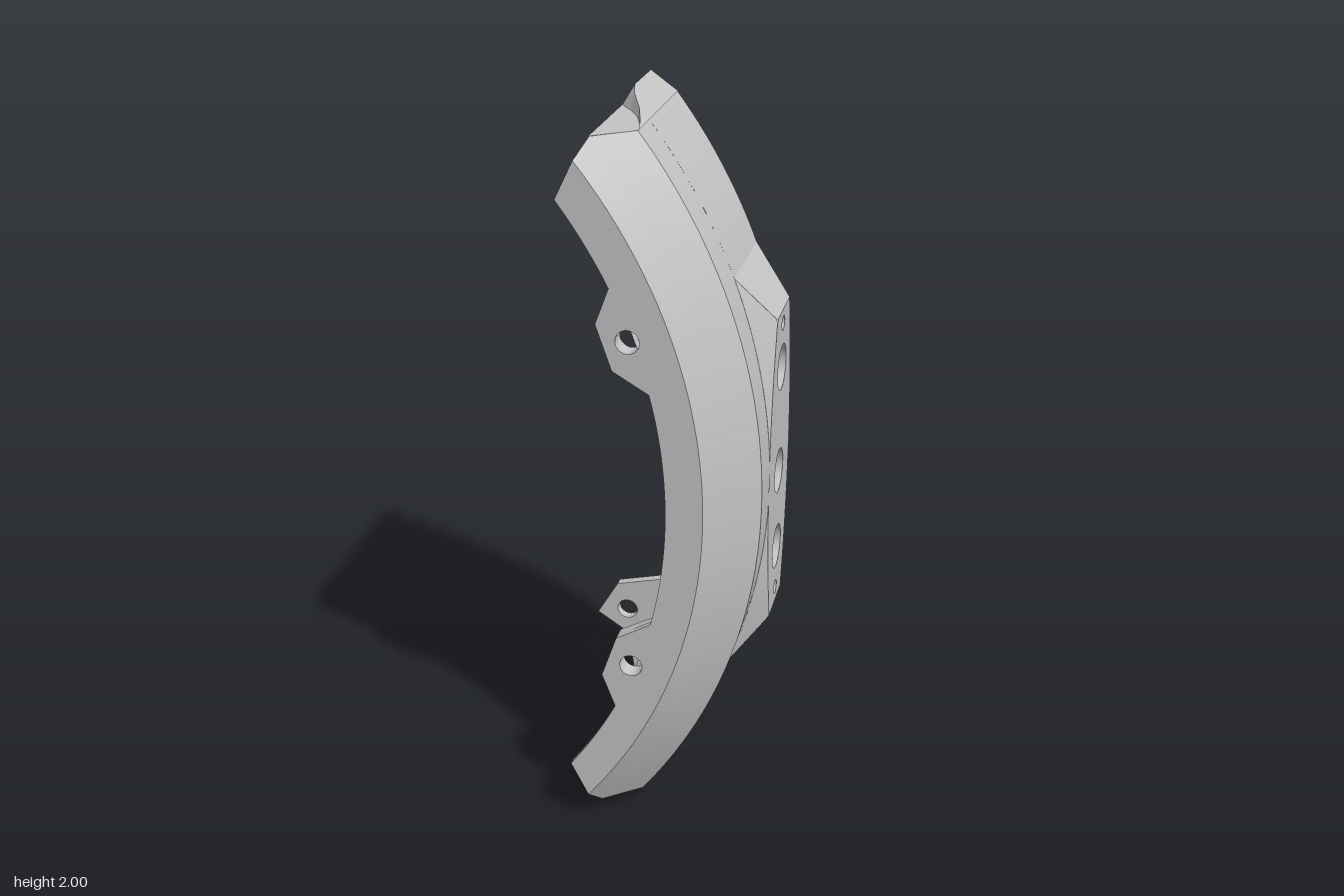
import * as THREE from 'three';

// Curved housing: concentric arcs about (CX, 0); h is height above mid level
const CX = -1.284, R_OUT = 1.58, R_FACE = 1.452, R_IN = 1.354, R_FLOOR = 1.424, R_WALL = 1.46;
const ZF = 0.333, PLATE = 0.018, Z_WALL = 0.285;
const POCKET_X = 0.225, POCKET_H = 0.45, POCKET_Z = 0.205, LIP_H = 0.6, RECESS_X = 0.268;
const PAD_X = 0.295, PAD_H = 0.44, PAD_END = 0.565, PAD_ZA = 0.095, PAD_ZB = -0.205;
const PORTS = [0.275, -0.03, -0.265], PORT_R = 0.063, HEX_R = 0.085;
const SCREWS = [0.4, -0.395], HOLE_Z = -0.055;
const arcX = (r, h) => CX + Math.sqrt(r * r - h * h);
const lerp = THREE.MathUtils.lerp;
const vec = pts => pts.map(p => new THREE.Vector2(...p));
const circle = (x, y, r) => new THREE.Path().absarc(x, y, r, 0, Math.PI * 2, true);
const hexagon = h => vec([0, 1, 2, 3, 4, 5].map(i =>
  [-HOLE_Z + HEX_R * Math.cos(i * Math.PI / 3), h + HEX_R * Math.sin(i * Math.PI / 3)]));

export function createModel() {
  const model = new THREE.Group();
  model.name = 'housingParts';
  const grey = new THREE.MeshStandardMaterial({ color: 0xc4c4c4, side: THREE.DoubleSide });
  grey.name = 'cast grey';
  const add = (name, geo) => {
    const m = new THREE.Mesh(geo, grey);
    m.name = name;
    model.add(m);
  };
  const surface = (name, pos, idx) => {
    const g = new THREE.BufferGeometry();
    g.setAttribute('position', new THREE.Float32BufferAttribute(pos, 3));
    if (idx) g.setIndex(idx);
    g.computeVertexNormals();
    add(name, g);
  };
  // Ruled strip between two curves a(t) and b(t)
  const strip = (name, a, b, n = 40) => {
    const pos = [], idx = [];
    for (let i = 0; i <= n; i++) {
      pos.push(...a(i / n), ...b(i / n));
      if (i < n) idx.push(2 * i, 2 * i + 1, 2 * i + 2, 2 * i + 1, 2 * i + 3, 2 * i + 2);
    }
    surface(name, pos, idx);
  };
  // Arc at radius r and depth z running from height h0 to h1
  const arc = (r, z, h0, h1) => t => { const h = lerp(h0, h1, t); return [arcX(r, h), h, z]; };
  // Flat polygon fan, first point is the hub
  const fan = (name, pts, flip) => {
    const pos = [];
    for (let i = 1; i < pts.length - 1; i++) {
      const tri = [pts[0], pts[i], pts[i + 1]];
      (flip ? tri.reverse() : tri).forEach(p => pos.push(...p));
    }
    surface(name, pos);
  };
  const slab = (name, shape, z, depth) => add(name,
    new THREE.ExtrudeGeometry(shape, { depth, bevelEnabled: false, curveSegments: 16 }).translate(0, 0, z));

  // Front and rear plates: arc bands with tabs on the inner edge
  const plate = (name, z, h0, h1, tab, hole) => {
    const pts = [], N = 48;
    for (let i = 0; i <= N; i++) {
      const h = lerp(-0.91, 0.91, i / N);
      pts.push([arcX(R_FACE, h), h]);
    }
    const inner = (a, b, n) => {
      for (let i = 0; i <= n; i++) { const h = lerp(a, b, i / n); pts.push([arcX(R_IN, h), h]); }
    };
    inner(0.812, h1, 6);
    pts.push(...[...tab].reverse());
    inner(h0, -h0, 24);
    pts.push(...tab.map(([x, y]) => [x, -y]));
    inner(-h1, -0.812, 6);
    const s = new THREE.Shape(vec(pts));
    for (const k of [1, -1]) s.holes.push(circle(hole[0], k * hole[1], 0.031));
    slab(name, s, z, PLATE);
  };
  // Thickening behind a tab
  const boss = (name, outline, hole, z, depth) => {
    for (const k of [1, -1]) {
      const s = new THREE.Shape(vec(outline.map(([x, y]) => [x, k * y])));
      s.holes.push(circle(hole[0], k * hole[1], 0.031));
      slab(name, s, z, depth);
    }
  };
  const tab = [[-0.065, 0.385], [-0.106, 0.505]], tabHole = [-0.025, 0.465];
  const ear = [[-0.08, 0.56], [-0.235, 0.598], [-0.298, 0.705]], earHole = [-0.204, 0.683];
  plate('frontPlate', ZF - PLATE, 0.33, 0.6, tab, tabHole);
  plate('rearPlateWithEars', -ZF, 0.55, 0.785, ear, earHole);
  boss('tabBoss', [[0.035, 0.33], ...tab, [-0.065, 0.6], [-0.03, 0.6], [0.03, 0.42]], tabHole, Z_WALL, 0.04);
  boss('earBoss', [[-0.04, 0.55], ...ear, [-0.175, 0.785], [-0.1, 0.68]], earHole, -0.325, 0.02);

  // Outer skin: chamfers as [radius, z, end height]
  const skin = (name, ps) => {
    for (let i = 0; i < ps.length - 1; i++) {
      const [a, b] = [ps[i], ps[i + 1]];
      strip(name, arc(a[0], a[1], -a[2], a[2]), arc(b[0], b[1], -b[2], b[2]));
    }
  };
  skin('frontChamfer', [[R_FACE, ZF, 0.91], [1.503, 0.283, 0.957], [R_OUT, 0.205, 0.957]]);
  skin('outerBand', [[R_OUT, 0.205, 0.957], [R_OUT, PAD_ZA, 0.957]]);
  skin('rearChamfer', [[R_OUT, -0.205, 0.957], [1.546, -0.24, 1.0], [R_FACE, -ZF, 0.91]]);
  for (const [h0, h1] of [[PAD_END, 0.957], [-0.957, -PAD_END]])
    strip('outerBandEnd', arc(R_OUT, PAD_ZA, h0, h1), arc(R_OUT, PAD_ZB, h0, h1), 14);

  // Flat pad with 45 degree flanks
  const ridgeX = h => {
    const a = Math.abs(h);
    return a <= PAD_H ? PAD_X : lerp(PAD_X, arcX(R_OUT, PAD_END), (a - PAD_H) / (PAD_END - PAD_H));
  };
  const rise = h => Math.max(0, ridgeX(h) - arcX(R_OUT, h));
  const ridge = (z, k) => t => {
    const h = lerp(-PAD_END, PAD_END, t);
    return [ridgeX(h), h, z - k * rise(h)];
  };
  strip('padFlank', arc(R_OUT, PAD_ZA, -PAD_END, PAD_END), ridge(PAD_ZA, 1), 113);
  strip('padFlank', ridge(PAD_ZB, -1), arc(R_OUT, PAD_ZB, -PAD_END, PAD_END), 113);
  const d = rise(PAD_H), xe = arcX(R_OUT, PAD_END);
  for (const k of [1, -1])
    fan('padSlope', [[xe, k * PAD_END, PAD_ZA], [PAD_X, k * PAD_H, PAD_ZA - d],
      [PAD_X, k * PAD_H, PAD_ZB + d], [xe, k * PAD_END, PAD_ZB]], k < 0);

  // Drilled plates: shape x runs along -z, then turned to face +x
  const drilled = (name, pts, x, holes) => {
    const s = new THREE.Shape(pts);
    s.holes.push(...holes);
    add(name, new THREE.ShapeGeometry(s, 24).rotateY(Math.PI / 2).translate(x, 0, 0));
  };
  const padPts = [];
  for (const [z, k] of [[PAD_ZA, 1], [PAD_ZB, -1]])
    for (let i = 0; i <= 40; i++) {
      const h = k * lerp(PAD_H, -PAD_H, i / 40);
      padPts.push([k * rise(h) - z, h]);
    }
  drilled('padFace', vec(padPts), PAD_X, [
    ...PORTS.map(h => circle(-HOLE_Z, h, PORT_R)), ...SCREWS.map(h => circle(-HOLE_Z, h, 0.02))]);
  drilled('pocketFloor', vec([[-POCKET_Z, POCKET_H], [-POCKET_Z, -POCKET_H], [POCKET_Z, -POCKET_H], [POCKET_Z, POCKET_H]]),
    POCKET_X, [...PORTS.map(h => new THREE.Path(hexagon(h))), ...SCREWS.map(h => circle(-HOLE_Z, h, 0.01))]);
  // Open bores along x; ports have a hexagonal recess behind
  const bore = (name, r, sides, x0, x1, h) => {
    let g = new THREE.CylinderGeometry(r, r, x1 - x0, sides, 1, true);
    if (sides === 6) { g = g.toNonIndexed(); g.computeVertexNormals(); }
    add(name, g.rotateZ(Math.PI / 2).translate((x0 + x1) / 2, h, HOLE_Z));
  };
  for (const h of PORTS) {
    bore('portWall', PORT_R, 24, RECESS_X, PAD_X, h);
    bore('hexRecess', HEX_R, 6, POCKET_X, RECESS_X, h);
    drilled('recessFloor', hexagon(h), RECESS_X, [circle(-HOLE_Z, h, PORT_R)]);
  }
  for (const h of SCREWS) bore('screwHole', 0.02, 16, POCKET_X, PAD_X, h);

  // Inside: thin pocket walls in the middle, sloped lips and solid floors at the ends
  for (const k of [1, -1]) {
    const mid = (r, z, h) => arc(r, k * z, -h, h);
    strip('innerEdge', mid(R_IN, ZF - PLATE, LIP_H), mid(R_IN, Z_WALL, LIP_H));
    strip('pocketWall', mid(R_IN, Z_WALL, LIP_H), mid(R_WALL, Z_WALL, LIP_H));
    strip('pocketSlope', mid(R_WALL, Z_WALL, POCKET_H), t => [POCKET_X, lerp(-POCKET_H, POCKET_H, t), k * POCKET_Z]);
    strip('wideFloor', arc(R_FLOOR, Z_WALL, k * POCKET_H, k * LIP_H), arc(R_FLOOR, -Z_WALL, k * POCKET_H, k * LIP_H), 6);
    strip('endFloor', arc(R_FLOOR, 0.245, k * LIP_H, k * 0.88), arc(R_FLOOR, -0.245, k * LIP_H, k * 0.88), 14);
    const at = (r, h, z) => [arcX(r, h), h, z], h = k * POCKET_H, lip = k * LIP_H;
    for (const s of [1, -1]) {
      strip('endLip', arc(R_IN, s * (ZF - PLATE), lip, k * 0.812), arc(R_FLOOR, s * 0.245, lip, k * 0.88), 14);
      fan('lipEnd', [at(R_FLOOR, lip, s * 0.245), at(1.384, lip, s * Z_WALL), at(R_FLOOR, lip, s * Z_WALL)], k * s > 0);
    }
    fan('pocketEnd', [at(R_FLOOR, h, Z_WALL), at(R_WALL, h, Z_WALL), [POCKET_X, h, POCKET_Z],
      [POCKET_X, h, -POCKET_Z], at(R_WALL, h, -Z_WALL), at(R_FLOOR, h, -Z_WALL)], k > 0);
    add('crossRib', new THREE.BoxGeometry(0.06, 0.025, 2 * POCKET_Z).translate(POCKET_X - 0.03, k * 0.43, 0));
  }
  add('pocketRail', new THREE.BoxGeometry(0.06, 0.84, 0.03).translate(POCKET_X - 0.03, 0, 0.12));

  // End caps: slanted end face, then a tip with a curved step between flat and slope
  for (const k of [1, -1]) {
    const on = (h, z) => [-0.196 + 0.5 * (h - 0.82), k * h, z];
    const f1 = on(0.88, 0.245), f2 = on(0.88, -0.245), b = on(0.957, -0.03), D = on(1, -0.075);
    const a = on(0.957, 0.283), G = on(1, -0.24);
    fan('endFace', [f1, on(0.812, ZF - PLATE), on(0.812, ZF), on(0.91, ZF), a, b, f2], k > 0);
    fan('endFace', [f2, b, D, G, on(0.91, -ZF), on(0.812, -ZF), on(0.812, PLATE - ZF)], k > 0);
    const curve = [[-0.092, 0.022], [-0.06, 0.08], [-0.037, 0.148], [-0.025, 0.205]];
    const low = [b, ...curve.map(([x, z]) => [x, k * 0.957, z])];
    const high = [D, ...curve.map(([x, z]) => {
      const up = 0.54 * (-0.025 - x);
      return [x, k * (0.957 + up), z - up];
    })];
    fan('tipFlat', [a, ...[...low].reverse()], k < 0);
    for (let i = 0; i < 4; i++) fan('tipStep', [low[i], low[i + 1], high[i + 1], high[i]], k < 0);
    fan('tipSlope', [[-0.025, k * 0.957, -0.205], G, ...high], k > 0);
  }

  model.position.y = 1;
  const root = new THREE.Group();
  root.name = 'curvedHousing';
  root.add(model);
  return root;
}
